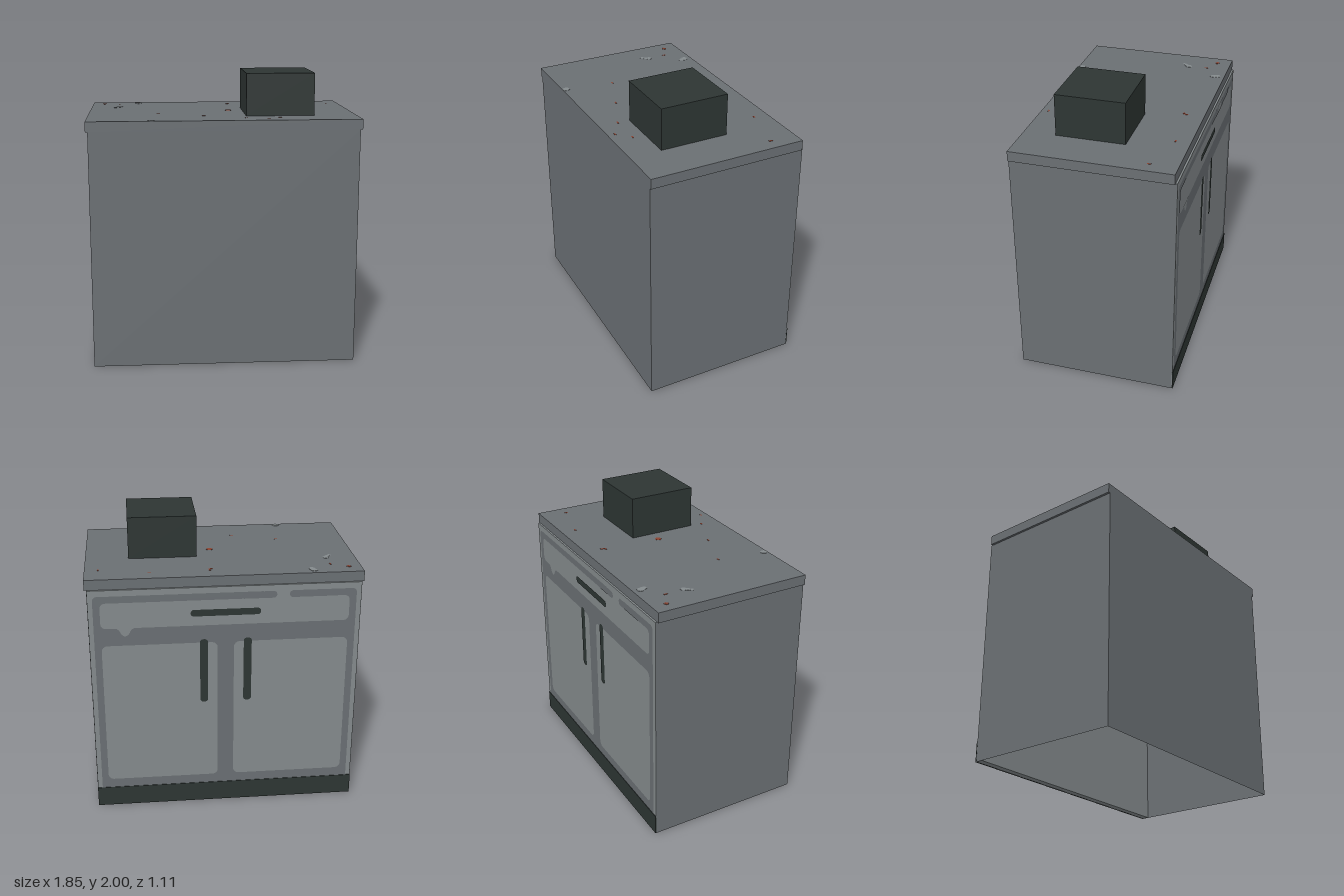
import * as THREE from 'three';

const mat = (name, color, side = THREE.FrontSide) => {
  const m = new THREE.MeshStandardMaterial({ color, side });
  m.name = name;
  return m;
};

// Rounded rectangle outline from its edges
function roundRect(target, x0, x1, y0, y1, r) {
  target.moveTo(x0 + r, y0);
  target.lineTo(x1 - r, y0);
  target.absarc(x1 - r, y0 + r, r, -Math.PI / 2, 0, false);
  target.lineTo(x1, y1 - r);
  target.absarc(x1 - r, y1 - r, r, 0, Math.PI / 2, false);
  target.lineTo(x0 + r, y1);
  target.absarc(x0 + r, y1 - r, r, Math.PI / 2, Math.PI, false);
  target.lineTo(x0, y0 + r);
  target.absarc(x0 + r, y0 + r, r, Math.PI, Math.PI * 1.5, false);
  return target;
}

export function createModel() {
  const grey = mat('cabinetGrey', 0x6a6f73, THREE.DoubleSide);
  const light = mat('panelGrey', 0x848a8c);
  const dark = mat('darkGreen', 0x2d3533);
  const rust = mat('rust', 0x8a4230);

  const model = new THREE.Group();
  model.name = 'kitchenCabinet';

  const add = (parent, name, geometry, material) => {
    const mesh = new THREE.Mesh(geometry, material);
    mesh.name = name;
    parent.add(mesh);
    return mesh;
  };
  const box = (name, x0, x1, y0, y1, z0, z1, material) => {
    const g = new THREE.BoxGeometry(x1 - x0, y1 - y0, z1 - z0);
    g.translate((x0 + x1) / 2, (y0 + y1) / 2, (z0 + z1) / 2);
    return add(model, name, g, material);
  };
  const wall = (name, w, h, x, y, z, turn) => {
    const m = add(model, name, new THREE.PlaneGeometry(w, h), grey);
    m.position.set(x, y, z);
    m.rotation.y = turn;
  };

  // Hollow carcass, open underneath
  const W = 0.91, H = 1.64, D = 0.555;
  wall('plainWall', W * 2, H, 0, H / 2, D, 0);
  for (const s of [-1, 1]) wall('sideWall', D * 2 - 0.008, H, s * W, H / 2, 0.004, s * Math.PI / 2);

  // Worktop and the block standing on it
  box('worktop', -0.925, 0.925, 1.64, 1.71, -0.537, 0.555, grey);
  box('worktopBlock', 0.16, 0.63, 1.71, 2.0, -0.14, 0.335, dark);

  // Door side, facing -z
  box('doorSlab', -W + 0.001, W - 0.001, 0.002, H, -0.55, -0.5, light);
  const face = new THREE.Group();
  face.name = 'doorFace';
  face.rotation.y = Math.PI;
  model.add(face);
  const plate = (name, shape, z, material) => {
    add(face, name, new THREE.ShapeGeometry(shape, 8), material).position.z = z;
  };
  const panel = (name, x0, x1, y0, y1, r, z, material) =>
    plate(name, roundRect(new THREE.Shape(), x0, x1, y0, y1, r), z, material);

  // Grey frame around the drawer and the two doors
  const frame = roundRect(new THREE.Shape(), -0.876, 0.876, 0.1, 1.598, 0.03);
  frame.holes.push(
    roundRect(new THREE.Path(), -0.83, 0.83, 1.37, 1.55, 0.035),
    roundRect(new THREE.Path(), -0.83, -0.055, 0.212, 1.245, 0.04),
    roundRect(new THREE.Path(), 0.055, 0.83, 0.212, 1.245, 0.04));
  plate('frame', frame, 0.5515, grey);

  // Break in the upper rail, and the worn patch under the drawer
  panel('railBreak', 0.25, 0.5, 1.54, 1.6, 0.002, 0.5525, light);
  panel('railLong', 0.1, 0.34, 1.55, 1.598, 0.023, 0.5535, grey);
  panel('railShort', 0.425, 0.7, 1.55, 1.598, 0.023, 0.5535, grey);
  const wear = new THREE.Shape();
  wear.moveTo(-0.75, 1.375);
  wear.quadraticCurveTo(-0.71, 1.37, -0.7, 1.335);
  wear.quadraticCurveTo(-0.67, 1.29, -0.64, 1.335);
  wear.quadraticCurveTo(-0.63, 1.37, -0.59, 1.375);
  plate('wornPatch', wear, 0.5525, light);

  // Handles and kick strip
  panel('drawerHandle', -0.235, 0.235, 1.437, 1.484, 0.022, 0.5545, dark);
  for (const s of [-1, 1])
    panel('doorHandle', s * 0.148 - 0.027, s * 0.148 + 0.027, 0.8, 1.27, 0.022, 0.5545, dark);
  box('kickStrip', -W, W, 0, 0.145, -0.555, -0.549, dark);

  // Rust flecks on the worktop: x, z, width, depth
  const flecks = [
    [-0.84, -0.435, 0.03, 0.012], [-0.84, -0.435, 0.012, 0.03], [-0.725, -0.375, 0.01, 0.025],
    [0.095, -0.41, 0.012, 0.03], [0.083, -0.392, 0.018, 0.01], [0.495, -0.435, 0.022, 0.01],
    [0.835, -0.35, 0.01, 0.025], [-0.44, 0.19, 0.024, 0.01], [-0.13, 0.305, 0.024, 0.01],
    [0.153, 0.42, 0.024, 0.01], [0.383, 0.42, 0.024, 0.01], [0.298, 0.505, 0.024, 0.01]];
  for (const [x, z, w, d] of flecks)
    box('rustFleck', x - w / 2, x + w / 2, 1.709, 1.712, z - d / 2, z + d / 2, rust);

  // Round worktop spots: x, z, half width, half depth
  const spot = (name, x, z, rx, rz, material) => {
    const g = new THREE.CylinderGeometry(1, 1, 0.003, 12);
    const m = add(model, name, g, material);
    m.scale.set(rx, 1, rz);
    m.position.set(x, 1.7105, z);
  };
  spot('rustSpot', 0.06, 0.008, 0.022, 0.022, rust);
  spot('paleSpot', -0.595, -0.485, 0.024, 0.022, light);
  spot('paleSpot', -0.585, -0.46, 0.02, 0.027, light);
  spot('paleSpot', -0.72, -0.243, 0.021, 0.021, light);
  spot('paleSpot', -0.735, -0.22, 0.016, 0.016, light);
  spot('paleSpot', -0.752, -0.2, 0.013, 0.014, light);
  spot('paleSpot', -0.49, 0.528, 0.025, 0.026, light);

  return model;
}
